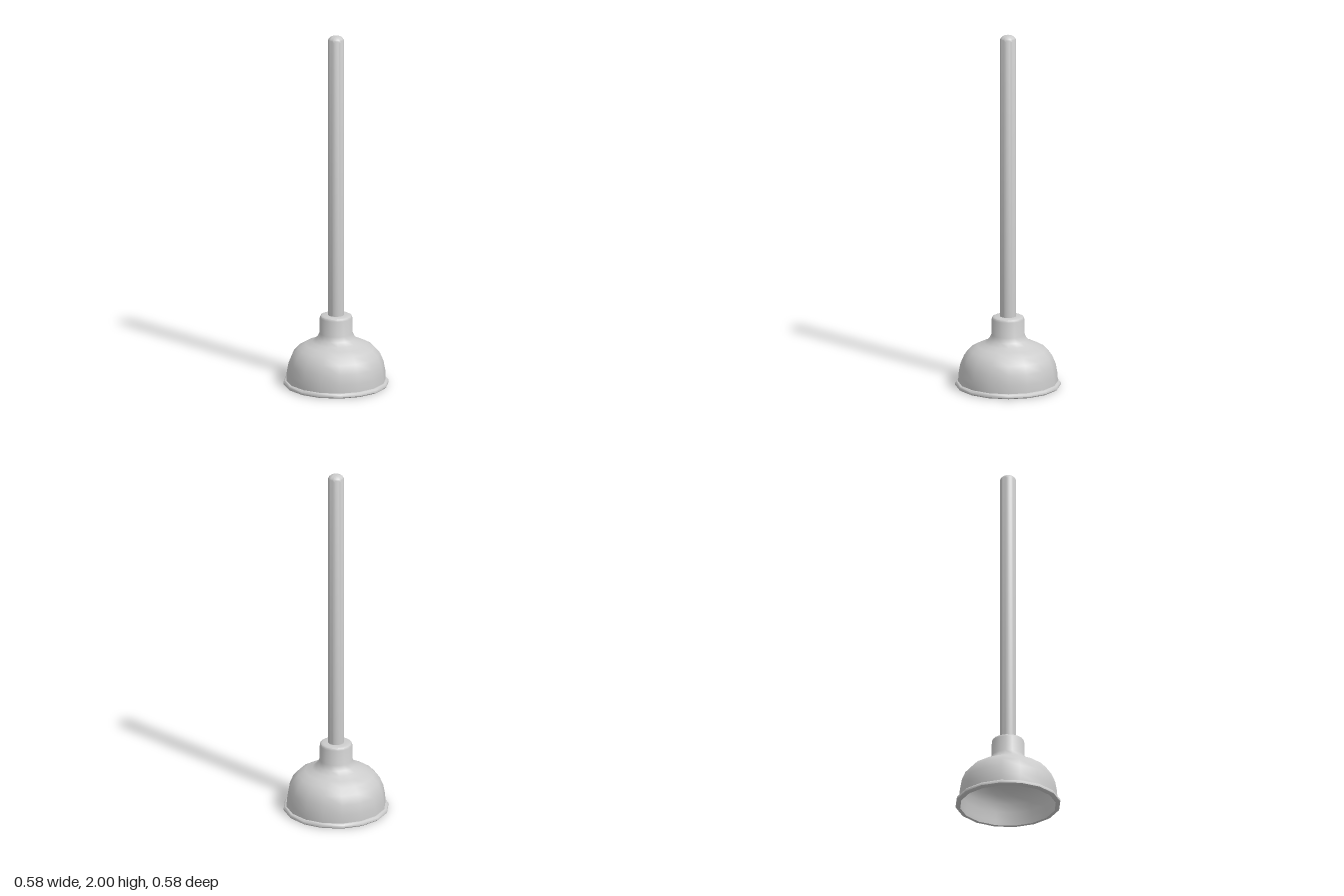
import * as THREE from 'three';
import { toCreasedNormals } from 'three/addons/utils/BufferGeometryUtils.js';

const material = new THREE.MeshStandardMaterial({ color: 0xcccccc, side: THREE.DoubleSide });

// Turned part from [radius, height] pairs
function turned(name, profile, sides) {
  const points = profile.map(([r, y]) => new THREE.Vector2(r, y));
  const geometry = toCreasedNormals(new THREE.LatheGeometry(points, sides), 0.8);
  const mesh = new THREE.Mesh(geometry, material);
  mesh.name = name;
  return mesh;
}

export function createModel() {
  const group = new THREE.Group();
  group.name = 'plunger';

  // Hollow rubber cup: inside wall down, round the lip, outside wall up to the collar
  group.add(turned('rubberCup', [
    [0, 0.24], [0.08, 0.24], [0.15, 0.225], [0.2, 0.2], [0.23, 0.167], [0.248, 0.126],
    [0.258, 0.08], [0.262, 0.03], [0.265, 0.004],
    [0.283, 0.004], [0.29, 0.01], [0.29, 0.022], [0.284, 0.029], [0.274, 0.03],
    [0.272, 0.075], [0.262, 0.13], [0.242, 0.178], [0.21, 0.213], [0.17, 0.235],
    [0.13, 0.25], [0.106, 0.27], [0.092, 0.298],
    [0.09, 0.385], [0.086, 0.396], [0.075, 0.401], [0.04, 0.401],
  ], 16));

  // Wooden handle with a rounded end, seated in the collar
  const radius = 0.044;
  const handle = [[0, 0.26], [radius, 0.26], [radius, 1.97]];
  for (let i = 1; i <= 6; i++) {
    const a = (i / 6) * Math.PI / 2;
    handle.push([Math.max(0, radius * Math.cos(a)), 1.97 + 0.03 * Math.sin(a)]);
  }
  group.add(turned('handle', handle, 32));

  return group;
}
